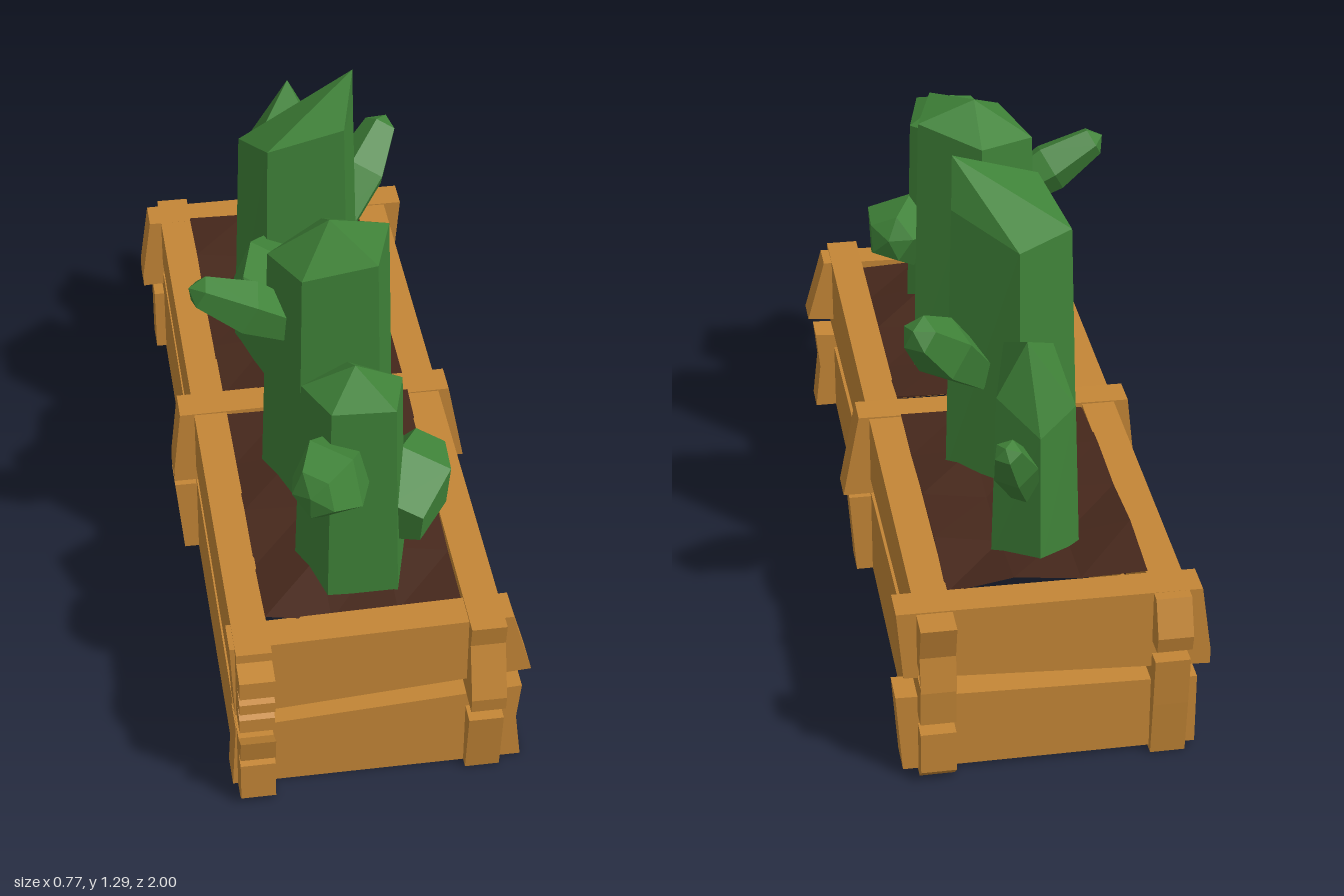
import * as THREE from 'three';

const wood = new THREE.MeshStandardMaterial({ color: 0xc48636, flatShading: true });
const soil = new THREE.MeshStandardMaterial({ color: 0x45271b, flatShading: true, side: THREE.DoubleSide });
const green = new THREE.MeshStandardMaterial({ color: 0x3f8238, flatShading: true });

// Small seeded generator for the irregular facets
function seeded(seed) {
  let s = seed * 7919 + 17;
  return () => ((s = (s * 16807) % 2147483647) / 2147483647);
}

function outline(points) {
  return new THREE.Shape(points.map(([u, y]) => new THREE.Vector2(u, y)));
}

// Plank cut from an outline of [distance along, height]; runs along x or z
function plank(name, points, x, z, alongZ) {
  const thickness = 0.085;
  const geo = new THREE.ExtrudeGeometry(outline(points), { depth: thickness, bevelEnabled: false });
  geo.translate(0, 0, -thickness / 2);
  if (alongZ) geo.rotateY(-Math.PI / 2);
  const mesh = new THREE.Mesh(geo, wood);
  mesh.name = name;
  mesh.position.set(x, 0, z);
  return mesh;
}

// Faceted closed column: rings are [y, radius, tiltX, tiltZ], ending in an apex point
function facetedColumn(rings, apex, seed) {
  const sides = 5;
  const rand = seeded(seed);
  rand();
  const spread = Array.from({ length: sides }, () => 0.95 + rand() * 0.1);
  const pos = [0, rings[0][0], 0];
  const index = [];
  rings.forEach(([y, r, tx = 0, tz = 0], k) => {
    for (let i = 0; i < sides; i++) {
      const a = -Math.PI / 2 + (i / sides) * Math.PI * 2;
      const x = Math.cos(a) * r * spread[i], z = Math.sin(a) * r * spread[i];
      pos.push(x, y + tx * x + tz * z, z);
      const j = (i + 1) % sides, lo = 1 + (k - 1) * sides, hi = lo + sides;
      if (k > 0) index.push(lo + i, hi + i, lo + j, lo + j, hi + i, hi + j);
      else index.push(0, 1 + i, 1 + j);
    }
  });
  const top = 1 + (rings.length - 1) * sides, tip = top + sides;
  pos.push(...apex);
  for (let i = 0; i < sides; i++) index.push(top + i, tip, top + ((i + 1) % sides));
  const geo = new THREE.BufferGeometry();
  geo.setAttribute('position', new THREE.Float32BufferAttribute(pos, 3));
  geo.setIndex(index);
  const flat = geo.toNonIndexed();
  flat.computeVertexNormals();
  return flat;
}

// Arm lying between two points, optionally narrower sideways
function cactusArm(from, to, radius, narrow, seed) {
  const a = new THREE.Vector3(...from), b = new THREE.Vector3(...to);
  const dir = b.clone().sub(a), len = dir.length();
  const rings = [[0, radius * 0.65], [len * 0.55, radius], [len * 0.92, radius * 0.6]];
  const mesh = new THREE.Mesh(facetedColumn(rings, [0, len, 0], seed).scale(narrow, 1, 1), green);
  mesh.name = 'cactusArm';
  mesh.position.copy(a);
  mesh.quaternion.setFromUnitVectors(new THREE.Vector3(0, 1, 0), dir.normalize());
  return mesh;
}

// Gap between lower and upper side boards runs on a slant
const lowGap = z => 0.232 - 0.0505 * z;
const highGap = z => 0.273 - 0.045 * z;

function buildCrate() {
  const crate = new THREE.Group();
  crate.name = 'crate';
  // Long side boards with broken ends
  crate.add(
    plank('leftLowerBoard', [[0.94, 0], [0.965, lowGap(0.965)], [-0.98, lowGap(-0.98)], [-0.975, 0.17],
      [-0.75, 0.15], [-0.975, 0.14], [-0.975, 0.03], [-0.945, 0]], 0.268, 0, true),
    plank('leftUpperBoard', [[0.98, highGap(0.98)], [0.985, 0.27], [0.94, 0.41], [0.95, 0.47],
      [-1, 0.45], [-0.975, 0.36], [-0.99, 0.27], [-0.96, highGap(-0.96)]], 0.268, 0, true),
    plank('rightLowerBoard', [[0.96, 0], [0.985, 0.02], [0.985, 0.13], [0.95, 0.135], [0.95, 0.145], [0.985, 0.15],
      [1, 0.22], [0.95, lowGap(0.8)], [-0.97, lowGap(-0.97)], [-0.96, 0.15], [-0.945, 0]], -0.292, 0, true),
    plank('rightUpperBoard', [[0.98, 0.24], [0.98, 0.28], [0.95, 0.3], [0.99, 0.31], [0.99, 0.34], [0.95, 0.36],
      [1, 0.37], [1, 0.42], [0.94, 0.43], [0.94, 0.455], [-0.955, 0.45], [-0.99, 0.36], [-0.98, highGap(-0.98)]],
    -0.292, 0, true),
  );
  // Cross boards [name, z, outline]; the middle one is a top rail with ends outside the walls
  const cross = [
    ['frontLowerBoard', 0.872, [[-0.345, 0], [0.37, 0], [0.355, 0.13], [0.365, 0.235], [-0.335, 0.19]]],
    ['frontUpperBoard', 0.872, [[-0.335, 0.235], [0.385, 0.29], [0.345, 0.43], [0.335, 0.467], [-0.345, 0.452]]],
    ['middleLowerEnd', -0.005, [[-0.37, 0], [-0.3, 0], [-0.3, 0.22], [-0.39, 0.22]]],
    ['middleLowerEnd', -0.005, [[0.27, 0], [0.355, 0], [0.37, 0.225], [0.27, 0.225]]],
    ['middleRail', -0.005, [[-0.39, 0.235], [-0.3, 0.235], [-0.3, 0.42], [0.27, 0.42], [0.27, 0.235],
      [0.385, 0.235], [0.34, 0.465], [-0.37, 0.455], [-0.39, 0.275]]],
    ['backLowerBoard', -0.885, [[-0.36, 0.01], [0.35, 0.01], [0.365, 0.22], [-0.36, 0.2]]],
    ['backUpperBoard', -0.885, [[-0.39, 0.235], [0.345, 0.275], [0.36, 0.455], [-0.365, 0.45], [-0.39, 0.275]]],
  ];
  for (const [name, z, points] of cross) crate.add(plank(name, points, -0.002, z, false));
  return crate;
}

function buildSoil() {
  const group = new THREE.Group();
  group.name = 'soil';
  // Uneven top surface in each half
  [[0.435, 0.8, 3], [-0.445, 0.8, 8]].forEach(([z, length, seed]) => {
    const rand = seeded(seed);
    const geo = new THREE.PlaneGeometry(0.48, length, 3, 4);
    geo.rotateX(-Math.PI / 2);
    const p = geo.attributes.position;
    for (let i = 0; i < p.count; i++) p.setY(i, 0.44 + rand() * 0.035);
    const top = new THREE.Mesh(geo, soil);
    top.name = 'soilSurface';
    top.position.set(-0.012, 0, z);
    group.add(top);
  });
  // Earth filling the slanted gaps between the side boards
  const strip = outline([[0.85, lowGap(0.85) - 0.02], [0.85, highGap(0.85) + 0.02],
    [-0.86, highGap(-0.86) + 0.02], [-0.86, lowGap(-0.86) - 0.02]]);
  for (const x of [0.235, -0.259]) {
    const fill = new THREE.Mesh(new THREE.ShapeGeometry(strip), soil);
    fill.name = 'soilGapFill';
    fill.rotation.y = -Math.PI / 2;
    fill.position.x = x;
    group.add(fill);
  }
  // Upright earth faces at the ends of each half
  for (const z of [0.828, 0.04, -0.052, -0.84]) {
    const wall = new THREE.Mesh(new THREE.PlaneGeometry(0.475, 0.44), soil);
    wall.name = 'soilEnd';
    wall.position.set(-0.012, 0.222, z);
    group.add(wall);
  }
  return group;
}

export function createModel() {
  const model = new THREE.Group();
  model.name = 'cactusPlanter';
  model.add(buildCrate(), buildSoil());

  // Cacti: position, radius, shoulder height and tilt, apex, arms [from, to, radius, narrowing]
  const cacti = [
    { x: -0.01, z: 0.65, r: 0.145, shoulder: 0.985, tilt: [0, 0.12], apex: [0, 1.05, -0.01],
      arms: [[[0.08, 0.64, 0.74], [0.185, 0.69, 0.5], 0.108, 1], [[-0.03, 0.82, 0.69], [-0.15, 0.87, 0.885], 0.1, 0.9]] },
    { x: -0.015, z: 0.285, r: 0.175, shoulder: 1.13, tilt: [0.2, 0.1], apex: [0.0, 1.2, -0.02],
      arms: [[[-0.05, 0.89, 0.28], [-0.36, 1.06, 0.3], 0.068, 1]] },
    { x: -0.02, z: -0.235, r: 0.178, shoulder: 1.14, tilt: [0.25, 0.32], apex: [0.14, 1.29, -0.015],
      arms: [[[-0.06, 0.8, -0.16], [-0.19, 0.85, 0.11], 0.12, 0.75], [[0.07, 0.73, -0.31], [0.255, 0.97, -0.52], 0.08, 1]] },
    { x: -0.01, z: -0.645, r: 0.116, shoulder: 0.87, tilt: [0.2, 0.85], apex: [0.02, 1.005, -0.03],
      arms: [[[0.02, 0.62, -0.7], [0.09, 0.83, -0.85], 0.055, 1]] },
  ];
  cacti.forEach((c, i) => {
    const cactus = new THREE.Group();
    cactus.name = 'cactus' + (i + 1);
    const rings = [[0.43, c.r], [c.shoulder, c.r * 0.88, ...c.tilt]];
    const body = new THREE.Mesh(facetedColumn(rings, c.apex, i + 2), green);
    body.name = 'cactusBody';
    body.position.set(c.x, 0, c.z);
    cactus.add(body);
    c.arms.forEach(([from, to, r, narrow], k) => cactus.add(cactusArm(from, to, r, narrow, 20 + i * 3 + k)));
    model.add(cactus);
  });
  return model;
}
